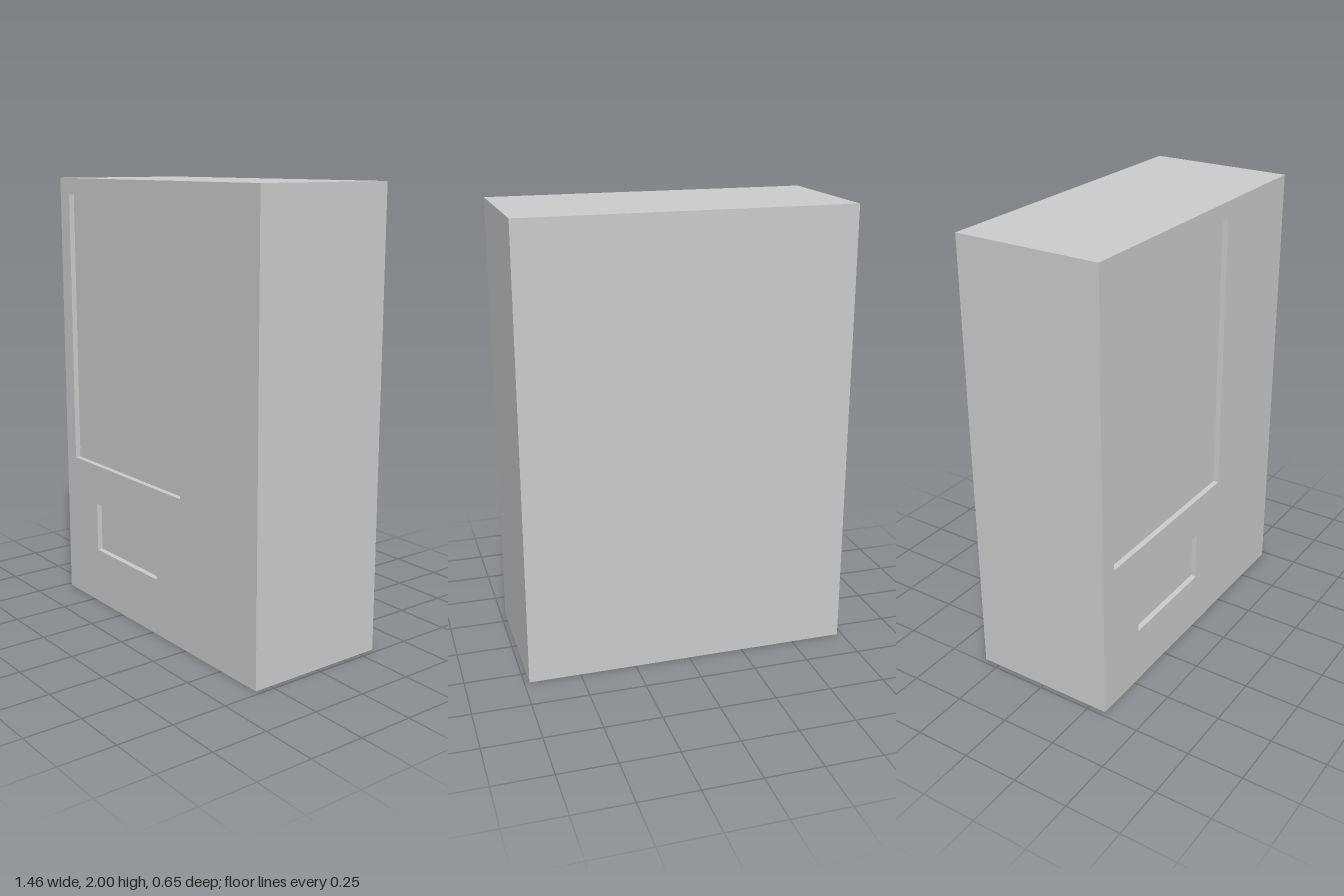
import * as THREE from 'three';

const W = 1.456, H = 2, D = 0.654, RECESS = 0.025;

// Front recesses: x and y ranges
const openings = [
  { name: 'displayWindow', x0: -0.652, x1: 0.212, y0: 0.677, y1: 1.927 },
  { name: 'dispensingTray', x0: -0.466, x1: 0.027, y0: 0.26, y1: 0.488 },
];

// Box without its +z face; inward turns the faces to the inside
function openBox(w, h, d, inward = false) {
  const geo = new THREE.BoxGeometry(w, h, d);
  const index = Array.from(geo.index.array);
  index.splice(24, 6);
  if (inward) {
    index.reverse();
    const n = geo.attributes.normal;
    for (let i = 0; i < n.array.length; i++) n.array[i] *= -1;
  }
  geo.setIndex(index);
  geo.clearGroups();
  return geo;
}

const rect = (path, x0, y0, x1, y1) =>
  path.setFromPoints([[x0, y0], [x1, y0], [x1, y1], [x0, y1]].map(([x, y]) => new THREE.Vector2(x, y)));

export function createModel() {
  const model = new THREE.Group();
  model.name = 'vendingMachine';
  const material = new THREE.MeshStandardMaterial({ color: 0xcccccc });
  const add = (name, geometry, x, y, z) => {
    const mesh = new THREE.Mesh(geometry, material);
    mesh.name = name;
    mesh.position.set(x, y, z);
    model.add(mesh);
  };

  // Cabinet sides, top, bottom and back
  add('cabinet', openBox(W, H, D), 0, H / 2, 0);

  // Front face with cut-outs
  const front = rect(new THREE.Shape(), -W / 2, 0, W / 2, H);
  for (const o of openings) front.holes.push(rect(new THREE.Path(), o.x0, o.y0, o.x1, o.y1));
  add('frontPanel', new THREE.ShapeGeometry(front), 0, 0, D / 2);

  // Shallow recess behind each cut-out
  for (const { name, x0, x1, y0, y1 } of openings) {
    add(name, openBox(x1 - x0, y1 - y0, RECESS, true), (x0 + x1) / 2, (y0 + y1) / 2, (D - RECESS) / 2);
  }
  return model;
}
